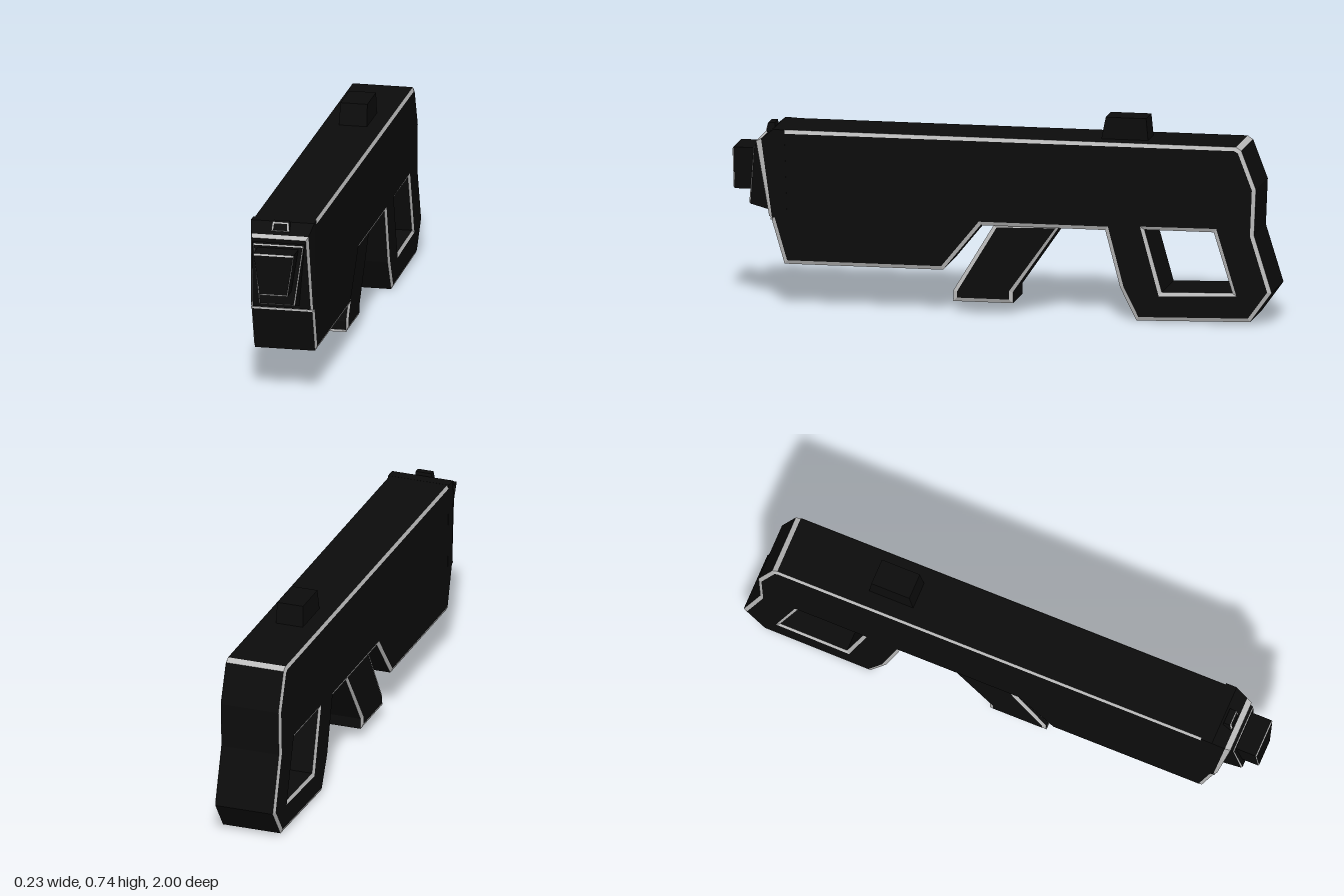
import * as THREE from 'three';

const dark = new THREE.MeshStandardMaterial({ color: 0x0c0c0c });
dark.name = 'matte black';
const pale = new THREE.MeshStandardMaterial({ color: 0xbcbcbc });
pale.name = 'worn edge grey';
const MATERIALS = [dark, pale];

// Side profile of [z, y] points, extruded across x with pale bevelled edges
function slab(name, points, halfWidth, bevel, hole) {
  const toVec = ([z, y]) => new THREE.Vector2(z, y);
  const shape = new THREE.Shape(points.map(toVec));
  if (hole) shape.holes.push(new THREE.Path(hole.map(toVec)));
  const thickness = 0.006;
  const depth = 2 * (halfWidth - thickness);
  const geo = new THREE.ExtrudeGeometry(shape, {
    depth, bevelEnabled: true, bevelSegments: 1,
    bevelSize: bevel, bevelOffset: -bevel, bevelThickness: thickness,
  });
  geo.translate(0, 0, -depth / 2);
  geo.rotateY(-Math.PI / 2);
  // Bevels and the chamfer on the rear top edge are pale, the rest dark
  const n = geo.attributes.normal;
  geo.clearGroups();
  for (let i = 0; i < n.count; i += 3) {
    const nx = Math.abs(n.getX(i));
    const isBevel = nx > 0.05 && nx < 0.98;
    const isChamfer = n.getY(i) > 0.5 && n.getZ(i) < -0.45;
    geo.addGroup(i, 3, isBevel || isChamfer ? 1 : 0);
  }
  const mesh = new THREE.Mesh(geo, MATERIALS);
  mesh.name = name;
  return mesh;
}

// Four-sided loft, back to front. Ring: [topHalf, topY, topZ, bottomHalf, bottomY, bottomZ]
function loft(name, rings, tones = []) {
  const corners = rings.map(([ht, yt, zt, hb, yb, zb]) => [
    [-hb, yb, zb], [hb, yb, zb], [ht, yt, zt], [-ht, yt, zt],
  ]);
  const pos = [];
  const geo = new THREE.BufferGeometry();
  const quad = (a, b, c, d, tone = 0) => {
    geo.addGroup(pos.length / 3, 6, tone);
    pos.push(...a, ...b, ...c, ...a, ...c, ...d);
  };
  for (let r = 0; r < corners.length - 1; r++) {
    const p = corners[r], q = corners[r + 1];
    for (let i = 0; i < 4; i++) {
      const j = (i + 1) % 4;
      quad(p[i], p[j], q[j], q[i], tones[r]);
    }
  }
  const back = corners[0], front = corners[corners.length - 1];
  quad(back[3], back[2], back[1], back[0]);
  quad(front[0], front[1], front[2], front[3]);
  geo.setAttribute('position', new THREE.Float32BufferAttribute(pos, 3));
  geo.computeVertexNormals();
  const mesh = new THREE.Mesh(geo, MATERIALS);
  mesh.name = name;
  return mesh;
}

function strip(name, width, height, depth, y, z) {
  const mesh = new THREE.Mesh(new THREE.BoxGeometry(width, height, depth), pale);
  mesh.position.set(0, y, z);
  mesh.name = name;
  return mesh;
}

export function createModel() {
  const group = new THREE.Group();
  group.name = 'blockyBlaster';

  // Long body with the looped rear handle
  group.add(slab('body', [
    [0.84, 0.655], [0.85, 0.33], [0.8, 0.16], [0.214, 0.16], [0.075, 0.33],
    [-0.385, 0.33], [-0.44, 0.12], [-0.5, 0], [-0.92, 0.01], [-1, 0.12],
    [-0.935, 0.33], [-0.942, 0.5], [-0.888, 0.642], [-0.868, 0.655],
  ], 0.117, 0.014, [
    [-0.53, 0.337], [-0.786, 0.337], [-0.855, 0.115], [-0.594, 0.108],
  ]));

  // Slanted front grip
  group.add(slab('frontGrip', [
    [0.18, 0.042], [0.18, 0.082], [0.027, 0.335], [-0.215, 0.335],
    [-0.04, 0.082], [-0.04, 0.042],
  ], 0.097, 0.014));
  group.add(strip('gripFrontEdge', 0.184, 0.008, 0.006, 0.046, 0.179));

  // Tapered nose with a pale rim
  group.add(loft('nose', [
    [0.1175, 0.6555, 0.8, 0.1175, 0.335, 0.79],
    [0.1175, 0.6555, 0.842, 0.1175, 0.33, 0.838],
    [0.106, 0.618, 0.888, 0.114, 0.328, 0.846],
    [0.1, 0.608, 0.908, 0.107, 0.334, 0.858],
  ], [0, 0, 1]));
  group.add(strip('noseLowerEdge', 0.23, 0.007, 0.006, 0.326, 0.848));

  // Stepped muzzle
  group.add(loft('muzzleCollar', [
    [0.1, 0.605, 0.87, 0.066, 0.345, 0.85],
    [0.094, 0.59, 0.915, 0.066, 0.368, 0.935],
    [0.09, 0.585, 0.918, 0.062, 0.373, 0.94],
  ], [0, 1]));
  group.add(loft('muzzle', [
    [0.075, 0.577, 0.9, 0.052, 0.42, 0.9],
    [0.075, 0.577, 0.996, 0.052, 0.42, 0.996],
    [0.073, 0.571, 1, 0.05, 0.426, 1],
  ], [0, 1]));

  // Sights
  group.add(loft('rearSight', [
    [0.05, 0.735, -0.524, 0.052, 0.65, -0.532],
    [0.05, 0.735, -0.375, 0.052, 0.65, -0.358],
  ]));
  group.add(loft('frontSight', [
    [0.03, 0.664, 0.852, 0.034, 0.62, 0.848],
    [0.03, 0.664, 0.876, 0.034, 0.63, 0.882],
    [0.024, 0.659, 0.879, 0.026, 0.635, 0.885],
  ], [0, 1]));

  return group;
}
